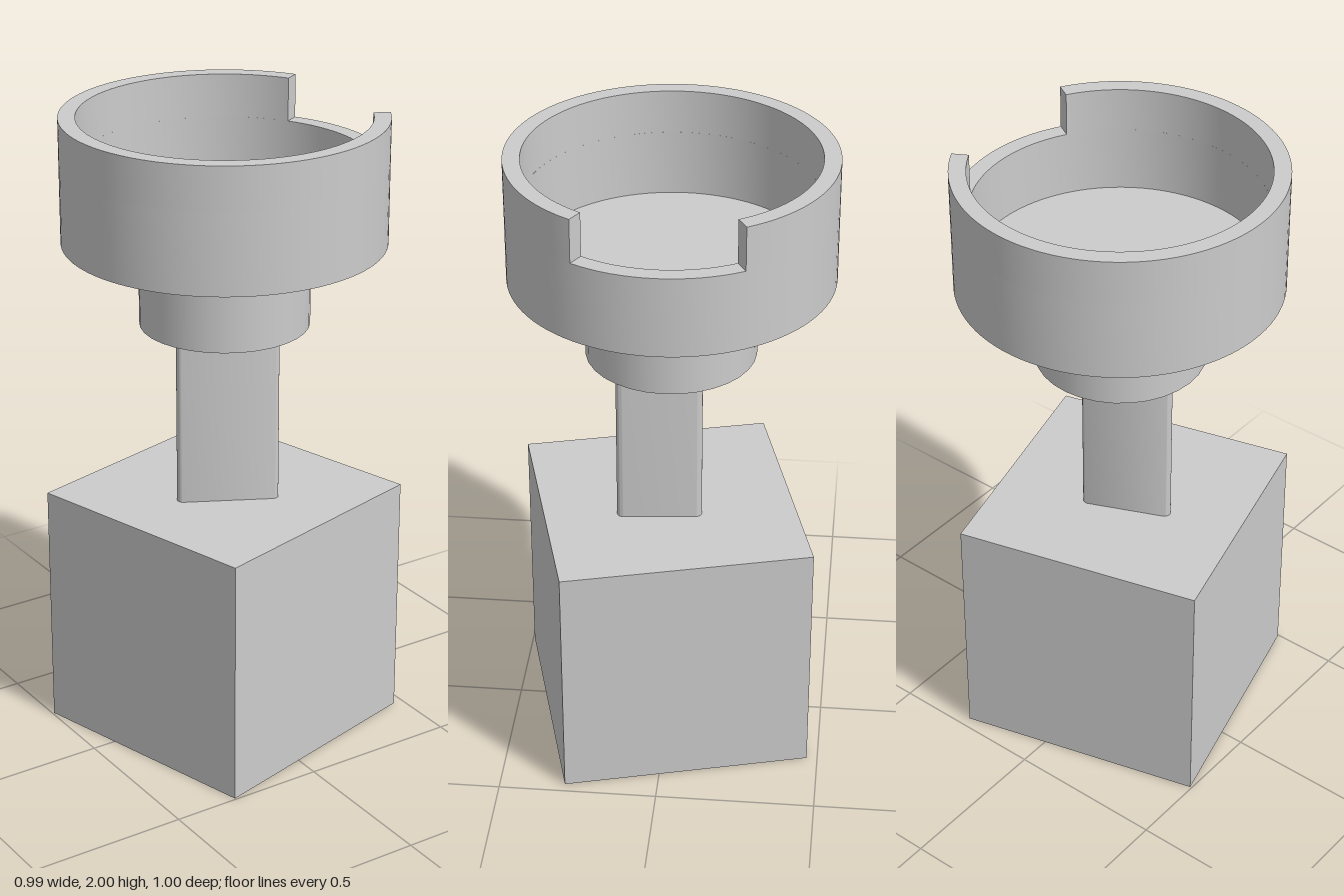
import * as THREE from 'three';
import { toCreasedNormals } from 'three/addons/utils/BufferGeometryUtils.js';

const material = new THREE.MeshStandardMaterial({ color: 0xcccccc });

function part(name, geometry, x = 0, y = 0, z = 0) {
  const mesh = new THREE.Mesh(geometry, material);
  mesh.name = name;
  mesh.position.set(x, y, z);
  return mesh;
}

// Extrudes a floor plan (shape x = x, shape y = z) between two heights.
function prism(shape, y0, y1, curveSegments) {
  const geometry = new THREE.ExtrudeGeometry(shape, { depth: y1 - y0, bevelEnabled: false, curveSegments });
  geometry.rotateX(Math.PI / 2).translate(0, y1, 0);
  return toCreasedNormals(geometry, 0.6);
}

// Convex outline with rounded corners around the given corner centres (counterclockwise).
function roundedPolygon(centres, r) {
  const shape = new THREE.Shape();
  const n = centres.length;
  const normalAngle = (a, b) => Math.atan2(-(b[0] - a[0]), b[1] - a[1]);
  centres.forEach((c, i) => {
    const a0 = normalAngle(centres[(i + n - 1) % n], c);
    const a1 = normalAngle(c, centres[(i + 1) % n]);
    shape.absarc(c[0], c[1], r, a0, a1, false);
  });
  shape.closePath();
  return shape;
}

export function createModel() {
  const model = new THREE.Group();
  model.name = 'cupOnPost';

  // Cube base, turned slightly
  const base = part('base', new THREE.BoxGeometry(0.786, 0.79, 0.786), -0.0135, 0.395, 0.0145);
  base.rotation.y = 0.26;
  model.add(base);

  // Triangular post with rounded corners
  const plan = roundedPolygon([[0.058, -0.085], [0.08, 0.14], [-0.165, 0.012]], 0.02);
  model.add(part('post', prism(plan, 0.79, 1.345, 8)));

  // Collar under the cup
  model.add(part('collar', new THREE.CylinderGeometry(0.262, 0.262, 0.265, 32), -0.002, 1.4775, -0.003));

  // Cup: full lower bowl, then the upper wall with a gap towards +x
  const R = 0.495, r = 0.443, notchY = 1.862, gap = Math.PI / 6;
  const cup = new THREE.Group();
  cup.name = 'cup';
  cup.position.set(-0.001, 0, -0.005);
  const profile = [[0, 1.61], [R, 1.61], [R, notchY], [r, notchY], [r, 1.655], [0, 1.655]]
    .map(([x, y]) => new THREE.Vector2(x, y));
  cup.add(part('bowl', toCreasedNormals(new THREE.LatheGeometry(profile, 96), 0.6)));

  const wall = new THREE.Shape();
  wall.absarc(0, 0, R, gap, 2 * Math.PI - gap, false);
  wall.absarc(0, 0, r, 2 * Math.PI - gap, gap, true);
  wall.closePath();
  cup.add(part('upperWall', prism(wall, notchY, 2, 80)));
  model.add(cup);

  return model;
}
